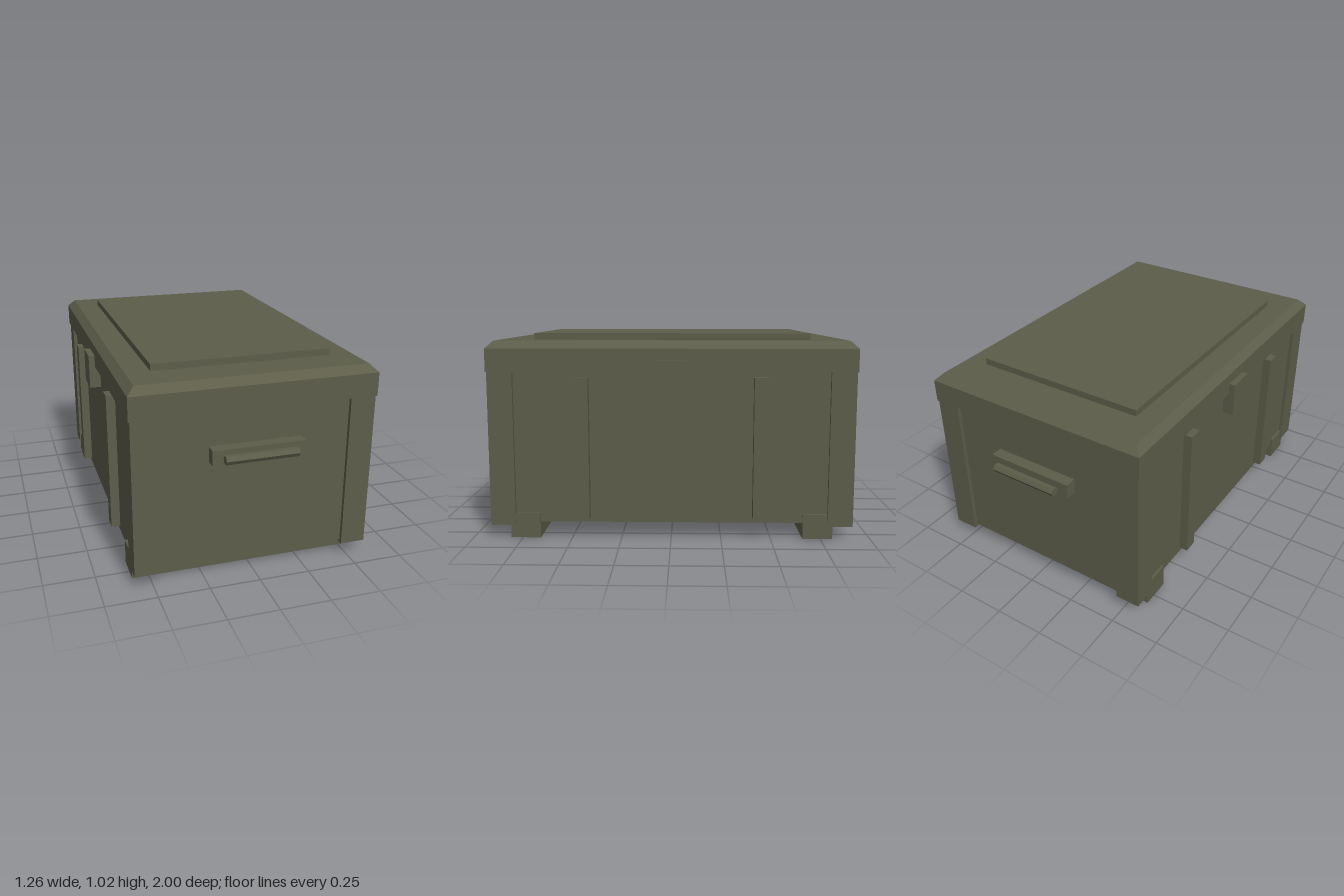
import * as THREE from 'three';

export function createModel() {
  const crate = new THREE.Group();
  crate.name = 'storageCrate';

  const olive = new THREE.MeshStandardMaterial({ color: 0x5d5d4a });
  olive.name = 'olive drab';

  const add = (name, geometry) => {
    const mesh = new THREE.Mesh(geometry, olive);
    mesh.name = name;
    crate.add(mesh);
    return mesh;
  };
  // Box given by its minimum and maximum along each axis
  const box = (name, x0, x1, y0, y1, z0, z1) => {
    const mesh = add(name, new THREE.BoxGeometry(x1 - x0, y1 - y0, z1 - z0));
    mesh.position.set((x0 + x1) / 2, (y0 + y1) / 2, (z0 + z1) / 2);
    return mesh;
  };
  // Same box centred on (cx, cz)
  const block = (name, cx, cz, w, d, y0, y1) =>
    box(name, cx - w / 2, cx + w / 2, y0, y1, cz - d / 2, cz + d / 2);

  // Body, slightly recessed between the corner posts
  box('body', -0.57, 0.57, 0.08, 0.845, -0.89, 0.89);

  // Lid with a bevelled upper edge: middle ring is raised, top ring drawn in
  const lidBase = new THREE.BoxGeometry(1.194, 2, 1.826, 1, 2, 1);
  const p = lidBase.attributes.position;
  for (let i = 0; i < p.count; i++) {
    const level = Math.round(p.getY(i));
    p.setY(i, [0.84, 0.955, 0.992][level + 1]);
    if (level === 1) {
      p.setX(i, Math.sign(p.getX(i)) * 0.56);
      p.setZ(i, Math.sign(p.getZ(i)) * 0.876);
    }
  }
  const lid = lidBase.toNonIndexed();
  lid.computeVertexNormals();
  add('lid', lid);
  box('lidPanel', -0.444, 0.444, 0.985, 1.025, -0.698, 0.698);

  for (const s of [-1, 1]) {
    // Corner posts, side ribs
    for (const t of [-1, 1]) {
      block('cornerPost', s * 0.5275, t * 0.8465, 0.125, 0.125, 0.066, 0.842);
      block('sideRib', s * 0.5875, t * 0.443, 0.055, 0.072, 0.105, 0.815);
    }
    // Latch over the lid seam
    block('latch', s * 0.599, 0, 0.058, 0.146, 0.725, 0.9);

    // Foot runner across the width
    block('footRunner', 0, s * 0.735, 1.166, 0.15, 0, 0.126);

    // Handle mount and hexagonal grip
    block('handleMount', 0, s * 0.915, 0.452, 0.064, 0.6, 0.674);
    const gripGeometry = new THREE.CylinderGeometry(0.0225, 0.0225, 0.354, 6).toNonIndexed();
    gripGeometry.rotateZ(Math.PI / 2);
    gripGeometry.computeVertexNormals();
    add('handleGrip', gripGeometry).position.set(0, 0.637, s * 0.9775);
  }

  return crate;
}
